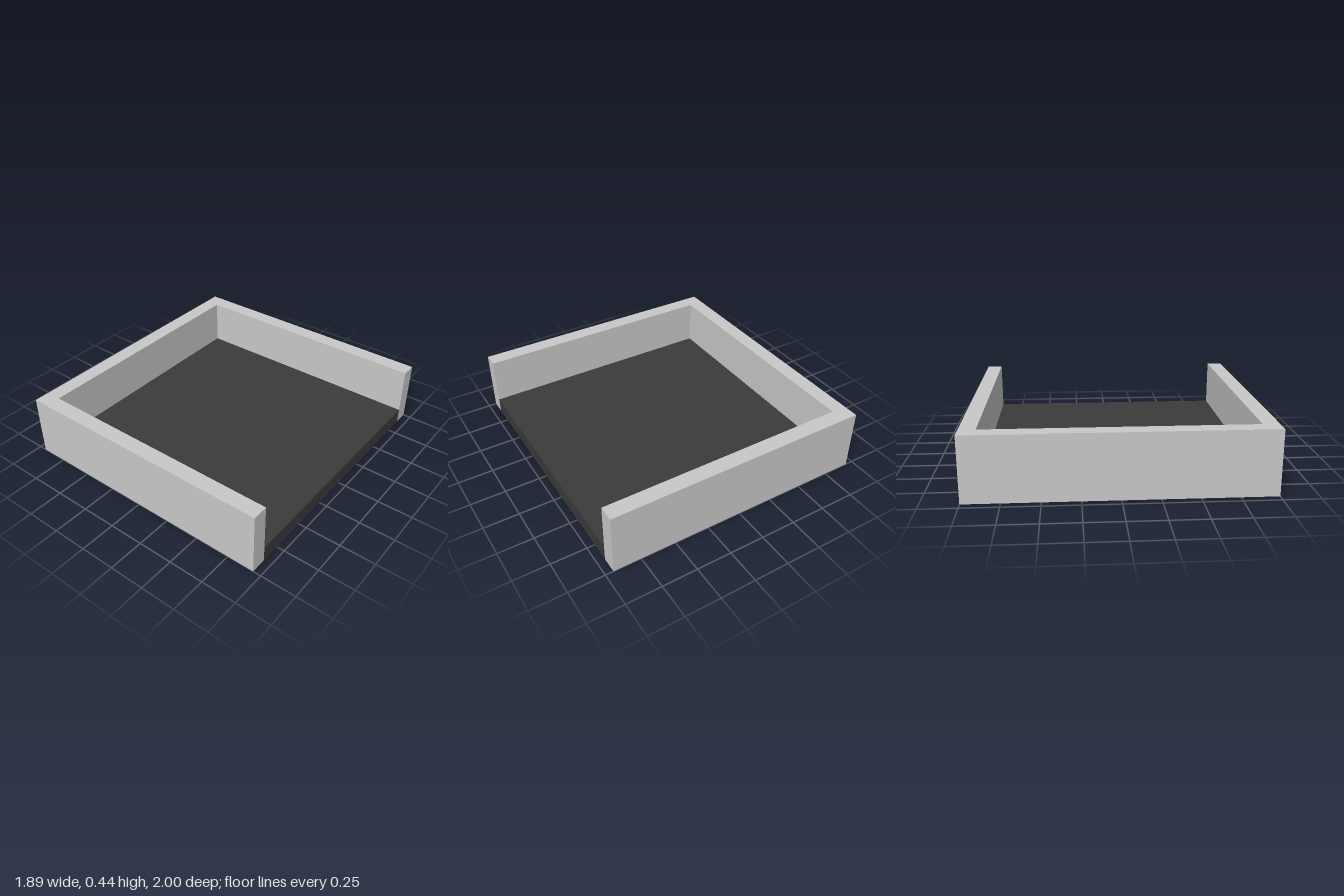
import * as THREE from 'three';

export function createModel() {
  const group = new THREE.Group();
  group.name = 'openTray';

  const paleGrey = new THREE.MeshStandardMaterial({ color: 0xc9c9c9 });
  paleGrey.name = 'pale grey';
  const charcoal = new THREE.MeshStandardMaterial({ color: 0x3b3b3b });
  charcoal.name = 'charcoal';

  const t = 1 / 9;            // wall and floor thickness
  const x = 8.5 * t, z = 1;   // half width and half depth
  const height = 4 * t;

  // U-shaped wall, open towards +x
  const outline = new THREE.Shape([
    [-x, -z], [x, -z], [x, -z + t], [-x + t, -z + t],
    [-x + t, z - t], [x, z - t], [x, z], [-x, z],
  ].map(([a, b]) => new THREE.Vector2(a, b)));
  const wallGeometry = new THREE.ExtrudeGeometry(outline, { depth: height, bevelEnabled: false });
  wallGeometry.rotateX(-Math.PI / 2);
  const wall = new THREE.Mesh(wallGeometry, paleGrey);
  wall.name = 'surroundingWall';
  group.add(wall);

  // Floor slab fitted between the walls
  const floor = new THREE.Mesh(new THREE.BoxGeometry(2 * x - t, t, 2 * (z - t)), charcoal);
  floor.position.set(t / 2, t / 2, 0);
  floor.name = 'floor';
  group.add(floor);

  return group;
}
